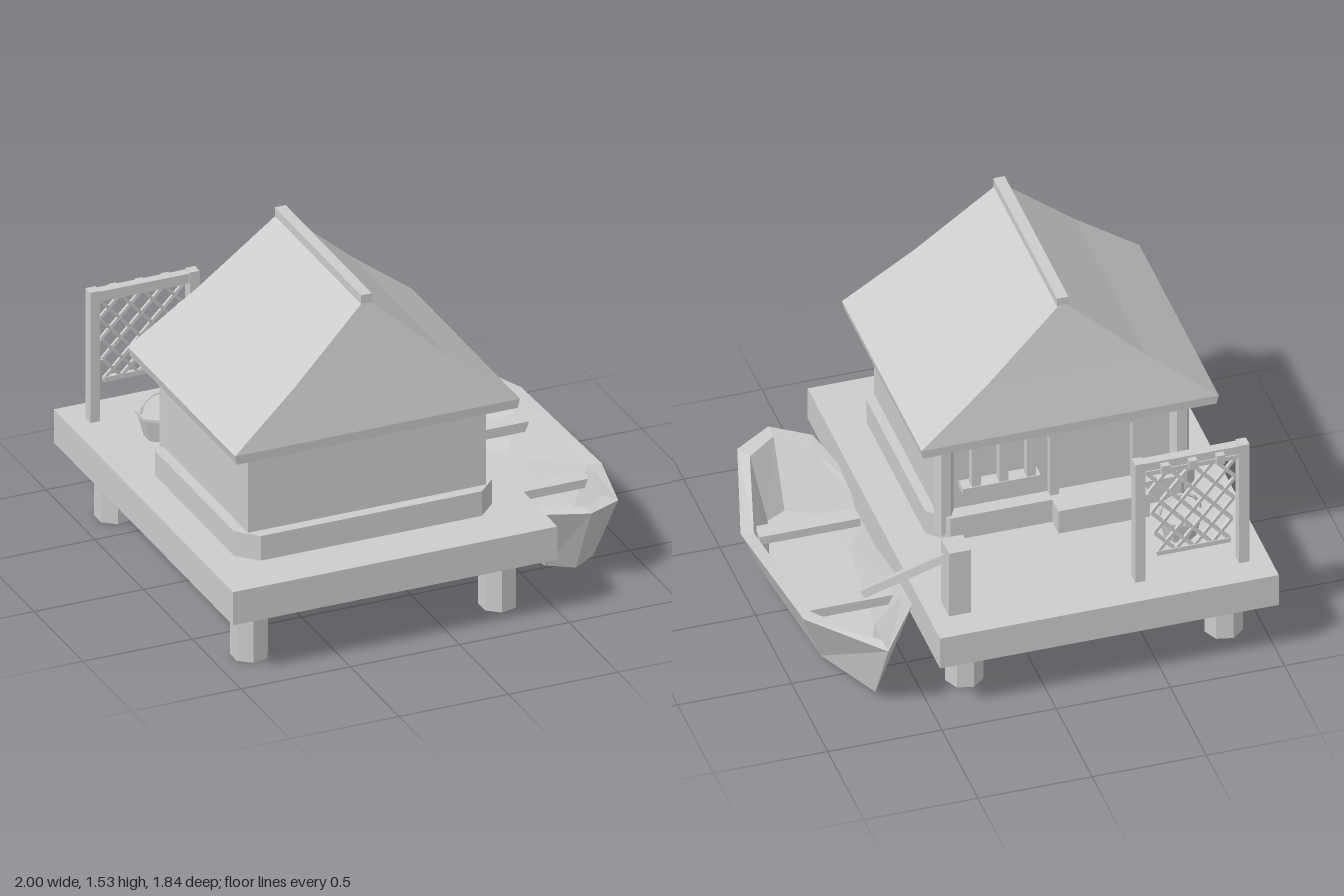
import * as THREE from 'three';

const grey = new THREE.MeshStandardMaterial({ color: 0xcccccc, flatShading: true, side: THREE.DoubleSide });
grey.name = 'plainGrey';

function add(parent, name, geometry) {
  const mesh = new THREE.Mesh(geometry, grey);
  mesh.name = name;
  parent.add(mesh);
  return mesh;
}

// Box given by its extents on each axis
function box(parent, name, x0, x1, y0, y1, z0, z1) {
  const mesh = add(parent, name, new THREE.BoxGeometry(x1 - x0, y1 - y0, z1 - z0));
  mesh.position.set((x0 + x1) / 2, (y0 + y1) / 2, (z0 + z1) / 2);
  return mesh;
}

// Square bar between two points
function bar(parent, name, from, to, thickness) {
  const a = new THREE.Vector3(...from), b = new THREE.Vector3(...to);
  const mesh = add(parent, name, new THREE.BoxGeometry(thickness, thickness, a.distanceTo(b)));
  mesh.position.copy(a).add(b).multiplyScalar(0.5);
  mesh.lookAt(b);
  return mesh;
}

// Open upright prism with a corner towards +x
function pole(parent, name, x, z, y0, y1, radius, sides) {
  const g = new THREE.CylinderGeometry(radius, radius, y1 - y0, sides, 1, true, Math.PI / 2);
  add(parent, name, g).position.set(x, (y0 + y1) / 2, z);
}

// Skin over closed loops of [x, y, z], open at the first loop and capped at the last
function loft(loops) {
  const out = [];
  const tri = (a, b, c) => out.push(...a, ...b, ...c);
  const n = loops[0].length;
  for (let k = 0; k < loops.length - 1; k++) {
    const a = loops[k], b = loops[k + 1];
    for (let i = 0; i < n; i++) {
      const j = (i + 1) % n;
      tri(a[i], a[j], b[j]);
      tri(a[i], b[j], b[i]);
    }
  }
  const last = loops[loops.length - 1];
  for (let i = 1; i < n - 1; i++) tri(last[0], last[i], last[i + 1]);
  const g = new THREE.BufferGeometry();
  g.setAttribute('position', new THREE.Float32BufferAttribute(out, 3));
  g.computeVertexNormals();
  return g;
}

const rect = (x0, x1, y, z0, z1) => [[x0, y, z1], [x1, y, z1], [x1, y, z0], [x0, y, z0]];

function chamferedRect(x0, x1, y, z0, z1, c) {
  return [[x0 + c, y, z1], [x1 - c, y, z1], [x1, y, z1 - c], [x1, y, z0 + c],
    [x1 - c, y, z0], [x0 + c, y, z0], [x0, y, z0 + c], [x0, y, z1 - c]];
}

// Full hull loop from half of it: stern, side points, bow
function hullLoop(half) {
  const mirrored = half.slice(1, -1).reverse().map(([x, y, z]) => [-x, y, z]);
  return [...half, ...mirrored].map(([x, y, z]) => [x + 0.7, y, z]);
}

function buildPlatform(root) {
  const g = new THREE.Group();
  g.name = 'platform';
  root.add(g);
  box(g, 'deck', -1, 0.483, 0.26, 0.415, -0.92, 0.918);
  for (const x of [-0.836, 0.299]) for (const z of [0.722, -0.67]) pole(g, 'stilt', x, z, 0, 0.265, 0.083, 7);
}

function buildHouse(root) {
  const g = new THREE.Group();
  g.name = 'house';
  root.add(g);
  add(g, 'plinth', loft([0.41, 0.53].map(y => chamferedRect(-0.86, 0.32, y, -0.28, 0.70, 0.085))));
  box(g, 'walls', -0.812, 0.277, 0.41, 0.97, -0.215, 0.65);
  box(g, 'doorStep', -0.61, -0.21, 0.41, 0.53, -0.367, -0.27);

  // Back wall: six-sided corner posts, door frame and slatted window
  for (const x of [-0.783, 0.249]) pole(g, 'cornerPost', x, -0.227, 0.44, 0.95, 0.043, 6);
  for (const x of [-0.61, -0.25]) box(g, 'doorPost', x, x + 0.04, 0.53, 0.9, -0.25, -0.2);
  box(g, 'doorLintel', -0.63, -0.19, 0.86, 0.91, -0.288, -0.2);
  box(g, 'windowSill', -0.16, 0.18, 0.64, 0.67, -0.28, -0.2);
  for (const x of [-0.12, 0, 0.12]) box(g, 'windowSlat', x - 0.02, x + 0.02, 0.67, 0.89, -0.275, -0.235);

  // Hollow hipped roof with a kink halfway up
  add(g, 'roof', loft([
    rect(-0.91, 0.375, 0.918, -0.342, 0.755),
    rect(-0.919, 0.383, 0.96, -0.345, 0.758),
    rect(-0.62, 0.08, 1.2, -0.295, 0.705),
    rect(-0.285, -0.255, 1.5, -0.235, 0.645),
  ]));
  box(g, 'ridgeBeam', -0.295, -0.245, 1.495, 1.535, -0.235, 0.65);
}

function buildNetRack(root) {
  const g = new THREE.Group();
  g.name = 'netRack';
  root.add(g);
  for (const x of [-0.912, -0.457]) box(g, 'rackPost', x, x + 0.045, 0.415, 1.025, -0.792, -0.742);
  box(g, 'rackTopRail', -0.912, -0.412, 0.975, 1.02, -0.788, -0.745);
  for (const x of [-0.78, -0.66, -0.54]) box(g, 'netHook', x - 0.018, x + 0.018, 0.965, 1.01, -0.815, -0.78);

  // Diagonal strands on a net that narrows and leans out towards the bottom
  const y0 = 0.57, size = 0.4;
  const netPoint = (u, v) => [-0.66 + (u - size / 2) * (0.8 + 0.5 * v), y0 + v, -0.814 + 0.08 * v];
  for (let i = -3; i <= 3; i++) {
    const s = i * 0.1;
    const a = Math.max(0, s), b = Math.min(size, size + s);
    for (const flip of [false, true]) {
      const u = t => (flip ? size - t : t);
      bar(g, 'netStrand', netPoint(u(a), a - s), netPoint(u(b), b - s), 0.014);
    }
  }
  for (const v of [0, size]) bar(g, 'netEdge', netPoint(0, v), netPoint(size, v), 0.022);
}

function buildBasket(root) {
  const g = new THREE.Group();
  g.name = 'basket';
  g.position.set(-0.693, 0.415, -0.52);
  root.add(g);
  const profile = [[0.068, 0], [0.095, 0.105], [0.105, 0.105], [0.105, 0.118], [0, 0.118]];
  const body = add(g, 'basketBody', new THREE.LatheGeometry(profile.map(p => new THREE.Vector2(...p)), 7));
  body.rotation.y = Math.PI / 2;
  const handle = add(g, 'basketHandle', new THREE.TorusGeometry(0.09, 0.007, 4, 8, Math.PI));
  handle.position.y = 0.115;
}

function buildMooring(root) {
  box(root, 'mooringPost', 0.305, 0.4, 0.41, 0.74, -0.783, -0.67);
  bar(root, 'mooringRope', [0.385, 0.675, -0.71], [0.674, 0.378, -0.468], 0.036);
}

function buildBoat(root) {
  const g = new THREE.Group();
  g.name = 'boat';
  root.add(g);
  // Open underside, outer rim, inner rim and floor
  add(g, 'hull', loft([
    [[0, 0.038, 0.62], [0.11, 0.038, 0.55], [0.195, 0.038, 0.2], [0.14, 0.038, -0.4], [0, 0.038, -0.71]],
    [[0, 0.365, 0.778], [0.165, 0.35, 0.685], [0.3, 0.275, 0.21], [0.245, 0.315, -0.49], [0, 0.375, -0.89]],
    [[0, 0.365, 0.705], [0.13, 0.35, 0.62], [0.245, 0.275, 0.2], [0.2, 0.315, -0.45], [0, 0.375, -0.81]],
    [[0, 0.09, 0.55], [0.09, 0.09, 0.5], [0.175, 0.09, 0.2], [0.115, 0.09, -0.33], [0, 0.09, -0.61]],
  ].map(hullLoop)));
  box(g, 'rearBench', 0.502, 0.898, 0.215, 0.26, -0.37, -0.288);
  box(g, 'frontBench', 0.48, 0.92, 0.21, 0.25, 0.195, 0.275);
}

export function createModel() {
  const root = new THREE.Group();
  root.name = 'stiltHouseWithBoat';
  buildPlatform(root);
  buildHouse(root);
  buildNetRack(root);
  buildBasket(root);
  buildMooring(root);
  buildBoat(root);
  return root;
}
